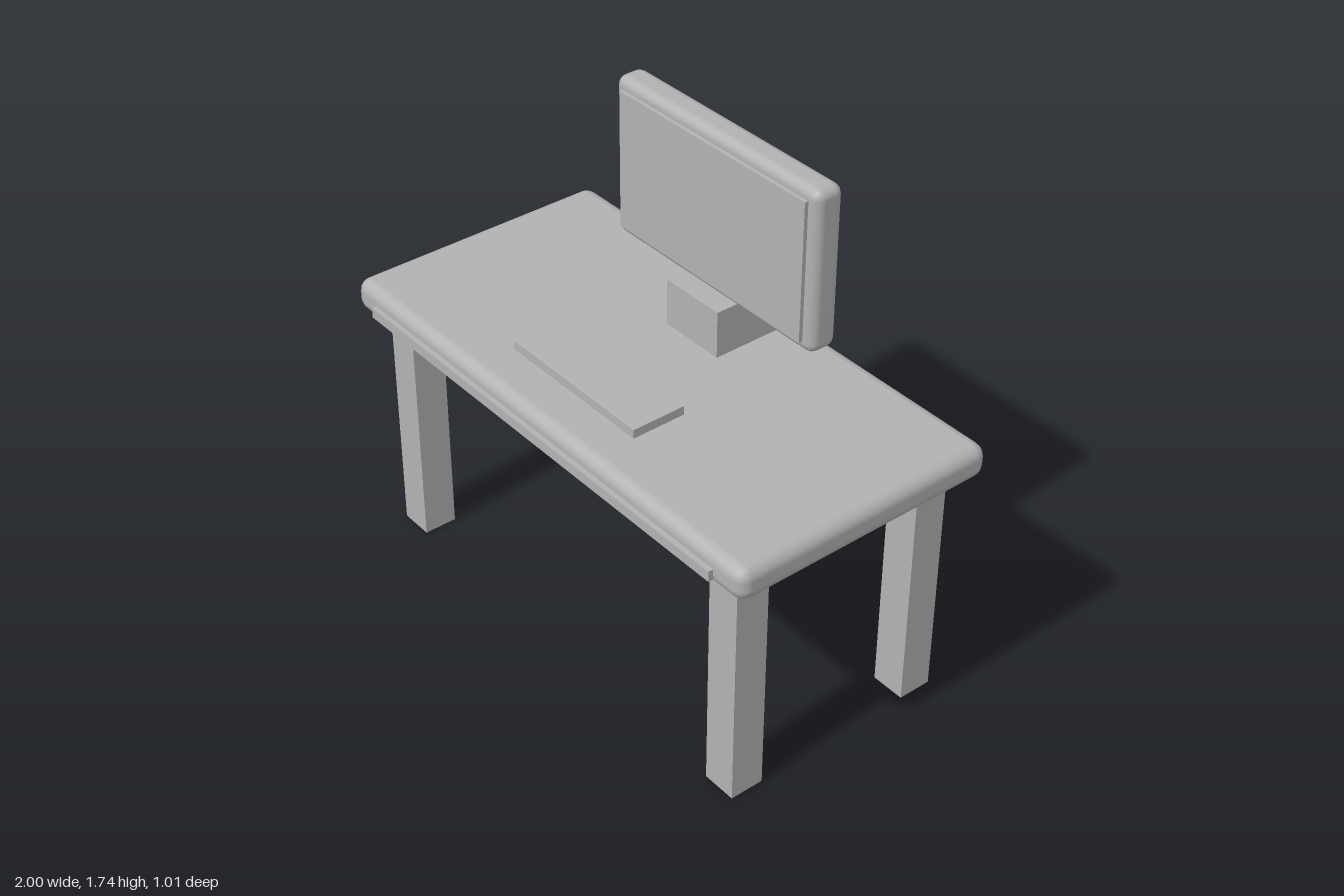
import * as THREE from 'three';
import { RoundedBoxGeometry } from 'three/addons/geometries/RoundedBoxGeometry.js';

const grey = new THREE.MeshStandardMaterial({ color: 0xb2b2b2 });
grey.name = 'plain grey';

// Box given by its lower and upper limits; a radius rounds the edges
function block(name, [x0, x1], [y0, y1], [z0, z1], radius = 0) {
  const size = [x1 - x0, y1 - y0, z1 - z0];
  const geometry = radius
    ? new RoundedBoxGeometry(...size, 2, radius)
    : new THREE.BoxGeometry(...size);
  const mesh = new THREE.Mesh(geometry, grey);
  mesh.name = name;
  mesh.position.set((x0 + x1) / 2, (y0 + y1) / 2, (z0 + z1) / 2);
  return mesh;
}

export function createModel() {
  const model = new THREE.Group();
  model.name = 'computerDesk';

  // Desk: rounded top, front strip and four square legs
  const desk = new THREE.Group();
  desk.name = 'desk';
  desk.add(block('deskTop', [-1, 1], [0.88, 1], [-0.505, 0.487], 0.045));
  desk.add(block('frontStrip', [-0.875, 0.875], [0.91, 0.948], [0.465, 0.505]));
  for (const [side, x] of [['left', 0.84], ['right', -0.84]]) {
    for (const [end, z] of [['Front', 0.355], ['Back', -0.37]]) {
      desk.add(block(`${side}${end}Leg`, [x - 0.0625, x + 0.0625], [0, 0.89], [z - 0.0615, z + 0.0615]));
    }
  }

  // Monitor: stand block, rounded case and raised screen panel
  const monitor = new THREE.Group();
  monitor.name = 'monitor';
  monitor.add(block('monitorStand', [-0.126, 0.126], [0.995, 1.172], [-0.415, -0.155]));
  monitor.add(block('monitorCase', [-0.485, 0.485], [1.16, 1.743], [-0.338, -0.228], 0.035));
  monitor.add(block('screenPanel', [-0.443, 0.443], [1.2, 1.703], [-0.25, -0.214]));

  // Keyboard, held just above the desk top
  const keyboard = block('keyboard', [-0.308, 0.308], [1.01, 1.042], [0.13, 0.328]);

  model.add(desk, monitor, keyboard);
  return model;
}
